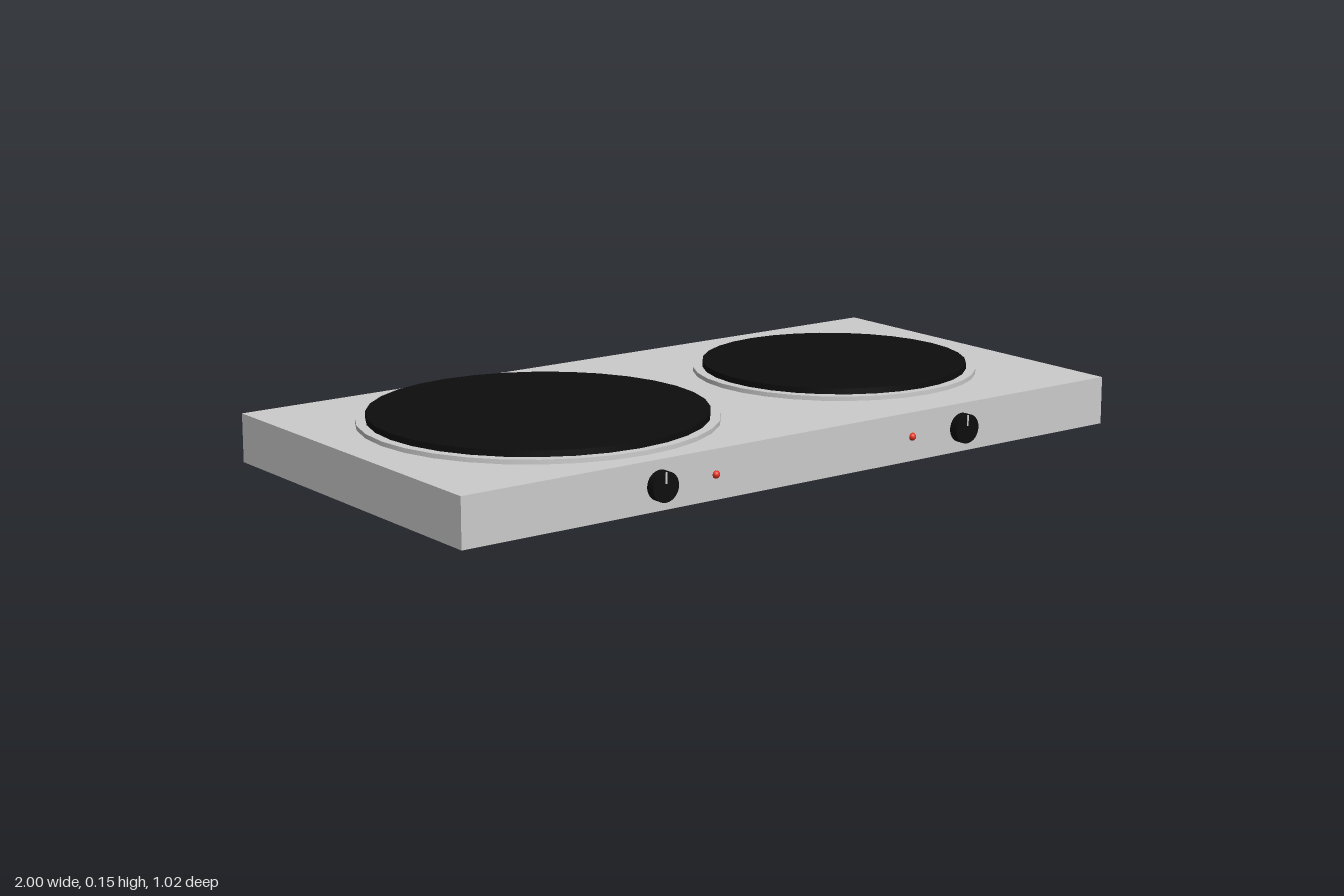
import * as THREE from 'three';

const grey = new THREE.MeshStandardMaterial({ color: 0xcccccc });
const black = new THREE.MeshStandardMaterial({ color: 0x0d0d0d });
const red = new THREE.MeshStandardMaterial({ color: 0xe03020 });

const FRONT = 0.4875; // z of the front panel
const PANEL_Y = 0.0625; // height of the controls

function add(parent, name, geometry, material, x, y, z) {
  const mesh = new THREE.Mesh(geometry, material);
  mesh.name = name;
  mesh.position.set(x, y, z);
  parent.add(mesh);
  return mesh;
}

// Raised base disc with a black heating plate on top
function createBurner(name, x, radius) {
  const burner = new THREE.Group();
  burner.name = name;
  burner.position.set(x, 0.125, -0.0125);
  add(burner, 'burnerBase', new THREE.CylinderGeometry(radius + 0.025, radius + 0.025, 0.0115, 32), grey, 0, 0.00575, 0);
  add(burner, 'heatingPlate', new THREE.CylinderGeometry(radius, radius, 0.0155, 32), black, 0, 0.01925, 0);
  return burner;
}

// Round knob with a pointer mark on its upper half
function createKnob(name, x) {
  const knob = new THREE.Group();
  knob.name = name;
  knob.position.set(x, PANEL_Y, FRONT);
  const dial = new THREE.CylinderGeometry(0.0375, 0.0375, 0.024, 32).rotateX(Math.PI / 2);
  add(knob, 'dial', dial, black, 0, 0, 0.012);
  add(knob, 'pointer', new THREE.BoxGeometry(0.005, 0.028, 0.002), grey, 0, 0.022, 0.024);
  return knob;
}

export function createModel() {
  const model = new THREE.Group();
  model.name = 'doubleHotPlate';

  // Housing
  add(model, 'housing', new THREE.BoxGeometry(2, 0.125, 1), grey, 0, 0.0625, -0.0125);

  // Large burner on the right, small one on the left
  model.add(createBurner('largeBurner', -0.45, 0.425));
  model.add(createBurner('smallBurner', 0.5, 0.35));

  // Controls and pilot lights
  model.add(createKnob('rightKnob', -0.45));
  model.add(createKnob('leftKnob', 0.5));
  for (const [name, x] of [['rightPilotLight', -0.285], ['leftPilotLight', 0.335]]) {
    add(model, name, new THREE.SphereGeometry(0.01, 16, 12), red, x, PANEL_Y, FRONT);
  }
  return model;
}
